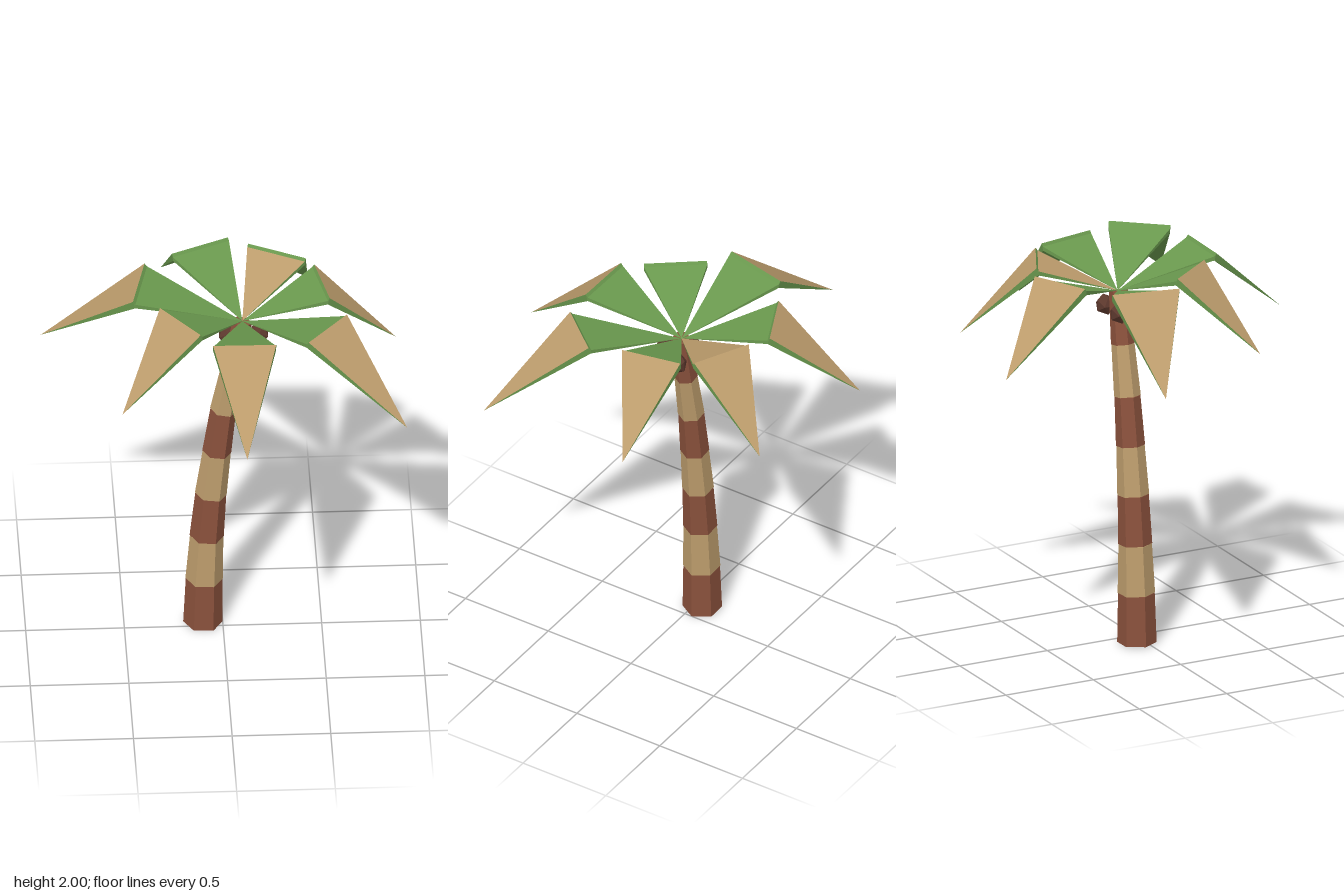
import * as THREE from 'three';

const mat = (name, color) => {
  const m = new THREE.MeshStandardMaterial({ color });
  m.name = name;
  return m;
};

// Faceted normals for a geometry
function faceted(geo) {
  const g = geo.index ? geo.toNonIndexed() : geo;
  g.computeVertexNormals();
  return g;
}

// Thin folded leaf: rises from the apex to a fold, then drops to a point.
// left, right and tip are [x, z], seen looking outward from the crown.
function leafGeometry(apex, left, right, tip) {
  const at = ([x, z], y) => new THREE.Vector3(x, y, z);
  const A = apex, T = at(tip, 1.6);
  const IL = at(left, 1.985), IR = at(right, 1.985);
  const BL = at(left, 1.963), BR = at(right, 1.963);
  const out = at(tip, 0).sub(at(left, 0).lerp(at(right, 0), 0.5)).multiplyScalar(0.025);
  const OL = at(left, 2).add(out), OR = at(right, 2).add(out);
  const faces = [
    A, IR, IL,                          // inner top
    OL, OR, T,                          // outer top
    IL, IR, OR, IL, OR, OL,             // raised lip at the fold
    A, BR, IR, BR, T, OR, BR, OR, IR,   // right edge
    A, IL, BL, BL, OL, T, BL, IL, OL,   // left edge
    A, BL, BR, BL, T, BR,               // underside
  ];
  const g = new THREE.BufferGeometry().setFromPoints(faces);
  g.addGroup(0, 3, 0);
  g.addGroup(3, 3, 1);
  g.addGroup(6, faces.length - 6, 2);
  g.computeVertexNormals();
  return g;
}

export function createModel() {
  const brown = mat('brown bark', 0x8a513c);
  const tan = mat('tan', 0xbc9c6c);
  const green = mat('leaf green', 0x6a994e);
  const dark = mat('coconut brown', 0x5c382d);
  const model = new THREE.Group();
  model.name = 'palmTree';

  // Curved trunk of six-sided segments: [x, y, radius] at each joint
  const trunk = new THREE.Group();
  trunk.name = 'trunk';
  const joints = [
    [-0.1, 0, 0.099], [-0.094, 0.263, 0.094], [-0.081, 0.523, 0.086], [-0.06, 0.78, 0.08],
    [-0.03, 1.035, 0.073], [0.003, 1.29, 0.067], [0.052, 1.555, 0.06], [0.1, 1.825, 0.05],
  ];
  for (let i = 0; i < joints.length - 1; i++) {
    const [x0, y0, r0] = joints[i], [x1, y1, r1] = joints[i + 1];
    const length = Math.hypot(x1 - x0, y1 - y0);
    const geo = new THREE.CylinderGeometry(r1 - 0.001, r0 + 0.001, length, 6, 1, false, Math.PI / 6);
    const segment = new THREE.Mesh(faceted(geo), i % 2 ? tan : brown);
    segment.name = 'trunkSegment' + (i + 1);
    segment.position.set((x0 + x1) / 2, (y0 + y1) / 2, -0.04);
    segment.rotation.z = -Math.atan2(x1 - x0, y1 - y0);
    trunk.add(segment);
  }
  model.add(trunk);

  // Crown of leaves: [left, right, tip, inner top material]
  const crown = new THREE.Group();
  crown.name = 'crown';
  const apex = new THREE.Vector3(0.1, 1.825, -0.045);
  const leaves = [
    [[0.25, 0.425], [-0.07, 0.42], [0.083, 0.875], green],
    [[0.61, 0.17], [0.405, 0.415], [0.905, 0.625], green],
    [[0.465, -0.28], [0.53, -0.03 + 0.06], [0.885, -0.2], green],
    [[0.145, -0.475], [0.43, -0.33], [0.465, -0.755], tan],
    [[-0.235, -0.4], [0.055, -0.535], [-0.275, -0.88], green],
    [[-0.445, 0.02], [-0.37, -0.325], [-0.91, -0.3], green],
    [[-0.12, 0.325], [-0.315, 0.07], [-0.53, 0.44], green],
  ];
  leaves.forEach(([left, right, tip, inner], i) => {
    const leaf = new THREE.Mesh(leafGeometry(apex, left, right, tip), [inner, tan, green]);
    leaf.name = 'leaf' + (i + 1);
    crown.add(leaf);
  });
  model.add(crown);

  // Coconuts around the top of the trunk
  const coconuts = new THREE.Group();
  coconuts.name = 'coconuts';
  [[0.1, 0.05], [0.183, -0.07], [0.03, -0.07]].forEach(([x, z], i) => {
    const nut = new THREE.Mesh(new THREE.IcosahedronGeometry(0.056, 0), dark);
    nut.name = 'coconut' + (i + 1);
    nut.position.set(x, 1.73, z);
    coconuts.add(nut);
  });
  model.add(coconuts);

  return model;
}
